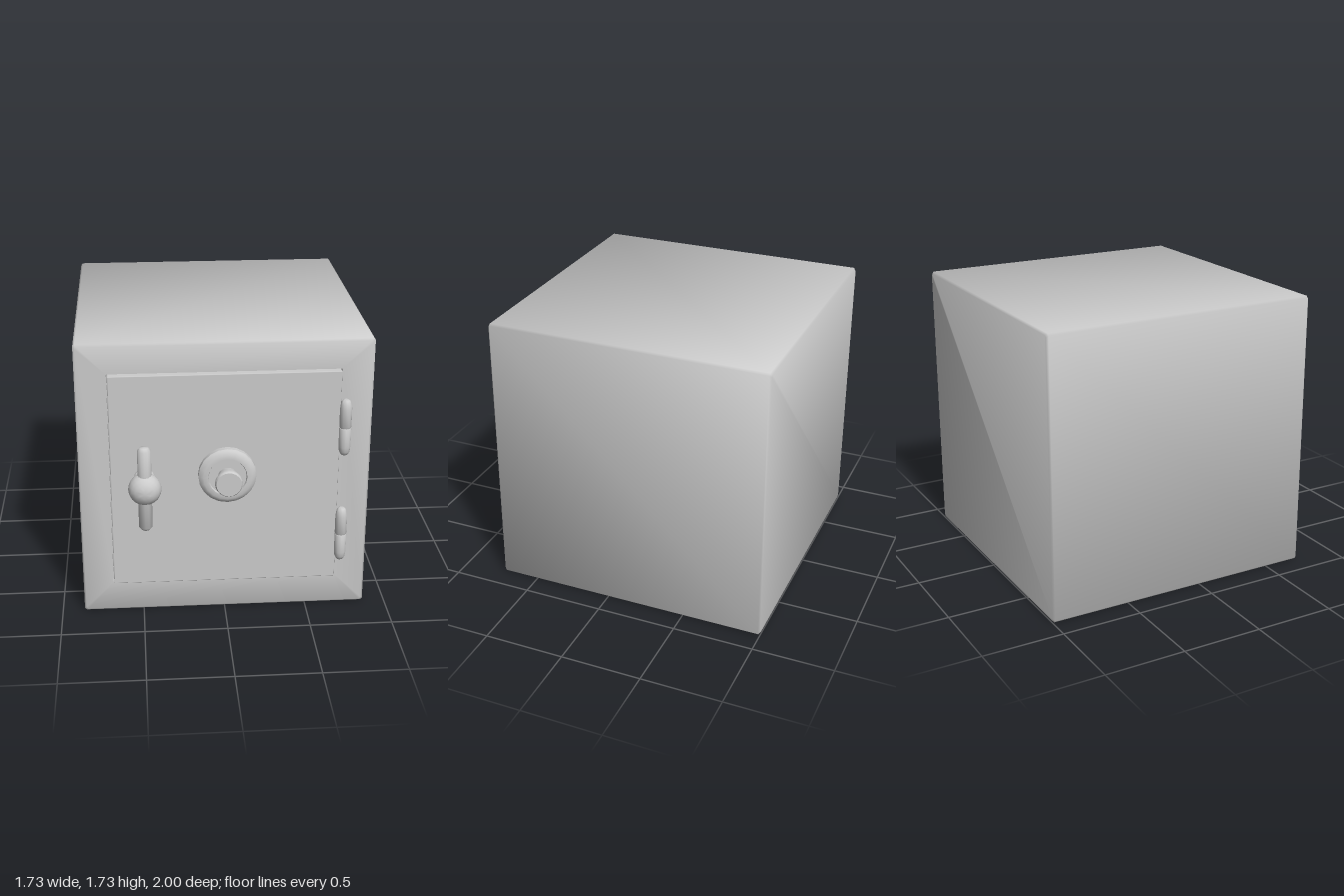
import * as THREE from 'three';
import { toCreasedNormals } from 'three/addons/utils/BufferGeometryUtils.js';
import { RoundedBoxGeometry } from 'three/addons/geometries/RoundedBoxGeometry.js';

const material = new THREE.MeshStandardMaterial({ color: 0xcccccc });

function addMesh(parent, name, geometry, x = 0, y = 0, z = 0) {
  const mesh = new THREE.Mesh(geometry, material);
  mesh.name = name;
  mesh.position.set(x, y, z);
  parent.add(mesh);
  return mesh;
}

// Rectangle with cut corners, anticlockwise seen from the front
function outline([w, h, cut, z, x = 0, y = 0]) {
  return [
    [-w + cut, -h], [w - cut, -h], [w, -h + cut], [w, h - cut],
    [w - cut, h], [-w + cut, h], [-w, h - cut], [-w, -h + cut],
  ].map(([px, py]) => new THREE.Vector3(px + x, py + y, z));
}

// Skin between outlines; every face weighs the same in the soft normals
function skin(sections, capStart, capEnd) {
  const n = 8;
  const points = sections.flatMap(outline);
  const faces = [];
  for (let s = 0; s < sections.length - 1; s++) {
    for (let j = 0; j < n; j++) {
      const k = (j + 1) % n, a = s * n, b = a + n;
      faces.push([a + j, a + k, b + k, b + j]);
    }
  }
  const ring = [...Array(n).keys()];
  if (capStart) faces.push([...ring].reverse());
  if (capEnd) faces.push(ring.map((j) => j + (sections.length - 1) * n));

  const normals = points.map(() => new THREE.Vector3());
  const index = [];
  for (const f of faces) {
    const d1 = points[f[2]].clone().sub(points[f[0]]);
    const d2 = points[f[3]].clone().sub(points[f[1]]);
    const normal = d1.cross(d2).normalize();
    f.forEach((i) => normals[i].add(normal));
    for (let i = 1; i < f.length - 1; i++) index.push(f[0], f[i], f[i + 1]);
  }
  normals.forEach((v) => v.normalize());
  const geometry = new THREE.BufferGeometry().setFromPoints(points);
  geometry.setAttribute('normal', new THREE.Float32BufferAttribute(normals.flatMap((v) => v.toArray()), 3));
  geometry.setIndex(index);
  return geometry;
}

// Turned part along y from [radius, height] pairs
function turned(profile, sides, crease = 0.6) {
  const points = profile.map(([r, h]) => new THREE.Vector2(r, h));
  return toCreasedNormals(new THREE.LatheGeometry(points, sides), crease);
}

export function createModel() {
  const safe = new THREE.Group();
  safe.name = 'safe';

  // Body: bevelled shell with a shallow opening in the front
  const W = 0.866, bevel = 0.012;
  const body = new THREE.Group();
  body.name = 'body';
  body.position.y = W;
  safe.add(body);
  const opening = (z) => [0.681, 0.679, 0.002, z, -0.002, 0.009];
  addMesh(body, 'shell', skin([
    [W - bevel, W - bevel, bevel, -1],
    [W, W, bevel, -1 + bevel],
    [W, W, bevel, 0.735 - bevel],
    [W - bevel, W - bevel, bevel, 0.735],
    opening(0.735),
  ], true, false));
  addMesh(body, 'doorRecess', toCreasedNormals(skin([opening(0.735), opening(0.69)], false, true), 0.5));

  // Door
  const door = new THREE.Group();
  door.name = 'door';
  safe.add(door);
  addMesh(door, 'doorPanel', new RoundedBoxGeometry(1.352, 1.348, 0.07, 1, 0.005), -0.002, 0.875, 0.729);

  // Combination dial: bevelled plate with a shallow dish, flared knob
  const dial = new THREE.Group();
  dial.name = 'dial';
  dial.position.set(0.01, 0.922, 0.762);
  dial.rotation.x = Math.PI / 2;
  door.add(dial);
  addMesh(dial, 'dialPlate', turned([
    [0.172, 0], [0.172, 0.035], [0.163, 0.045], [0.142, 0.058],
    [0.116, 0.058], [0.112, 0.046], [0, 0.046],
  ], 20));
  addMesh(dial, 'dialKnob', turned([
    [0.057, 0.04], [0.06, 0.065], [0.082, 0.138], [0.08, 0.15], [0.074, 0.158], [0, 0.158],
  ], 20));

  // Handle: foot, neck and ball, with a bar through the ball
  const handle = new THREE.Group();
  handle.name = 'handle';
  handle.position.set(-0.478, 0.912, 0.762);
  door.add(handle);
  const ball = [];
  for (let i = 1; i <= 10; i++) {
    const a = -Math.PI / 2 + (i / 10) * Math.PI;
    ball.push([Math.max(0, 0.097 * Math.cos(a)), 0.156 + 0.082 * Math.sin(a)]);
  }
  const grip = addMesh(handle, 'handleKnob', turned([
    [0.061, 0], [0.061, 0.016], [0.04, 0.036], [0.04, 0.07], [0.034, 0.082], ...ball.slice(1),
  ], 20, 0.8));
  grip.rotation.x = Math.PI / 2;
  addMesh(handle, 'handleBar', turned([
    [0, -0.262], [0.025, -0.26], [0.04, -0.242], [0.04, 0.242], [0.025, 0.261], [0, 0.263],
  ], 12, 0.9), 0, 0, 0.156);

  // Two hinges, each of two knuckles with domed ends
  const knuckle = turned([
    [0, 0.002], [0.034, 0.002], [0.036, 0.006], [0.036, 0.12], [0.032, 0.15], [0.022, 0.17], [0.01, 0.177], [0, 0.178],
  ], 12, 0.7);
  for (const [name, y] of [['upperHinge', 1.202], ['lowerHinge', 0.503]]) {
    const hinge = new THREE.Group();
    hinge.name = name;
    hinge.position.set(0.702, y, 0.774);
    safe.add(hinge);
    addMesh(hinge, 'upperKnuckle', knuckle);
    addMesh(hinge, 'lowerKnuckle', knuckle).rotation.x = Math.PI;
    addMesh(hinge, 'hingePin', new THREE.CylinderGeometry(0.032, 0.032, 0.02, 12));
  }

  return safe;
}
